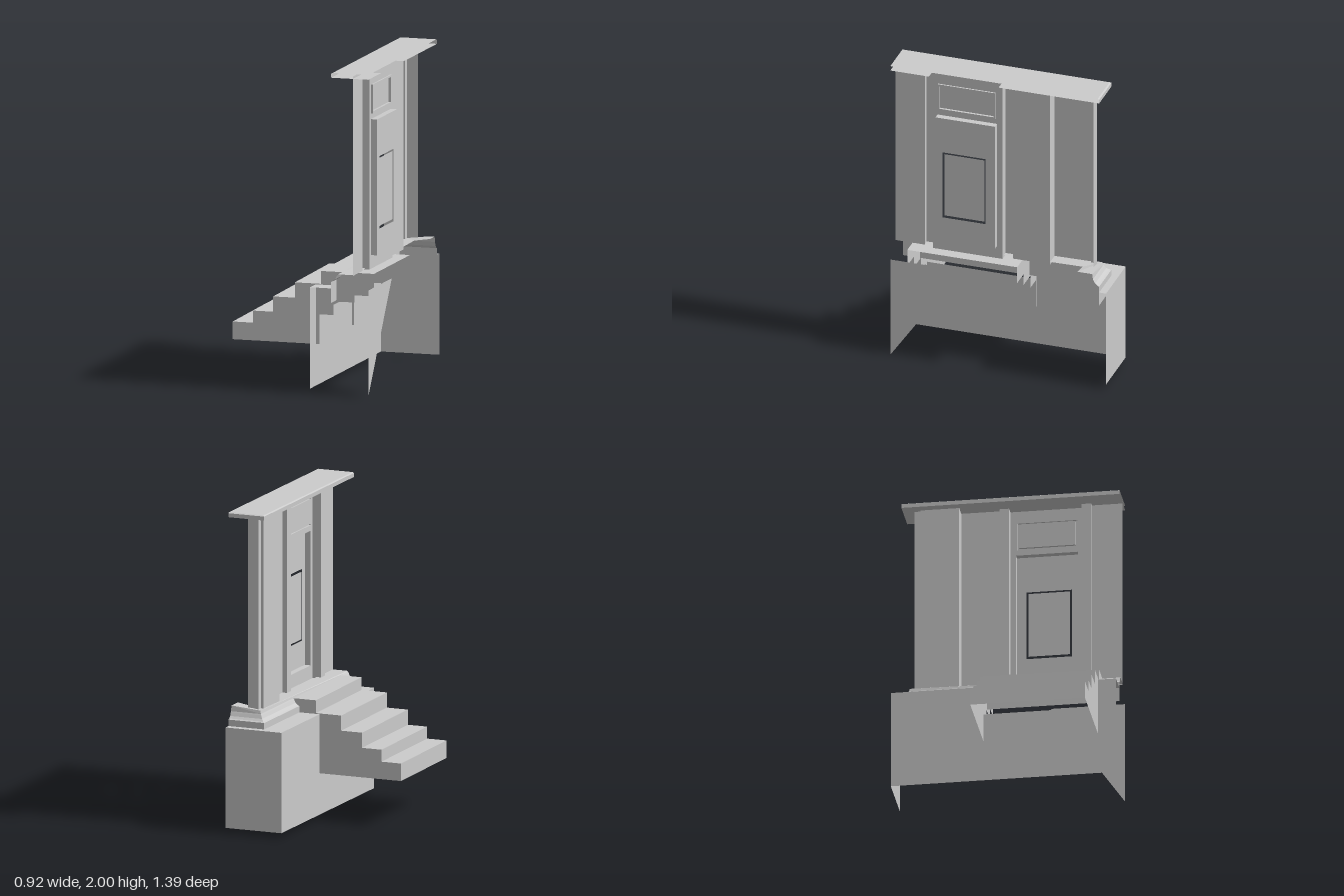
import * as THREE from 'three';

const material = new THREE.MeshStandardMaterial({ color: 0xcccccc, side: THREE.DoubleSide, flatShading: true });

export function createModel() {
  const model = new THREE.Group();

  const add = (name, geometry) => {
    const mesh = new THREE.Mesh(geometry, material);
    mesh.name = name;
    model.add(mesh);
    return mesh;
  };

  // Sheet through a row of cross-sections, each a list of [x, y, z]
  const loft = (name, sections) => {
    const pos = [];
    for (let i = 0; i + 1 < sections.length; i++) {
      const a = sections[i], b = sections[i + 1];
      for (let j = 0; j + 1 < a.length; j++) {
        pos.push(...a[j], ...b[j], ...b[j + 1], ...a[j], ...b[j + 1], ...a[j + 1]);
      }
    }
    const g = new THREE.BufferGeometry();
    g.setAttribute('position', new THREE.Float32BufferAttribute(pos, 3));
    g.computeVertexNormals();
    return add(name, g);
  };

  // Vertical sheet standing on a plan path of [x, z]
  const wall = (name, path, y0, y1) =>
    loft(name, [y1, y0].map(y => path.map(([x, z]) => [x, y, z])));

  // Horizontal sheet
  const floor = (name, x0, x1, z0, z1, y) =>
    loft(name, [[[x0, y, z0], [x0, y, z1]], [[x1, y, z0], [x1, y, z1]]]);

  const outline = (pts, Type = THREE.Shape) => new Type(pts.map(p => new THREE.Vector2(...p)));
  const rect = (z0, z1, y0, y1) => [[z0, y0], [z1, y0], [z1, y1], [z0, y1]];

  // Flat panel facing sideways, drawn in (z, y) at a given x, with optional holes
  const panel = (name, x, pts, holes = []) => {
    const s = outline(pts);
    s.holes = holes.map(h => outline(h, THREE.Path));
    return add(name, new THREE.ShapeGeometry(s).rotateY(-Math.PI / 2).translate(x, 0, 0));
  };

  // Reveal around a rectangular opening
  const reveal = (name, r, x0, x1) => {
    const loop = [...r, r[0]];
    loft(name, [x0, x1].map(x => loop.map(([z, y]) => [x, y, z])));
  };

  // Plinth: long face cut away behind the stairs, end face and ledge
  panel('plinthFace', 0.085, [[-0.695, 0.03], [0.7, 0.03], [0.7, 0.66], [0.59, 0.66],
    [0.59, 0.475], [-0.12, 0.475], [-0.12, 0.66], [-0.695, 0.66]]);
  wall('plinthEnd', [[0.085, -0.695], [0.46, -0.695]], 0.03, 0.66);
  floor('plinthLedge', 0.085, 0.22, -0.695, -0.12, 0.66);
  floor('plinthLedge', 0.085, 0.22, 0.59, 0.7, 0.66);
  floor('plinthEndLedge', 0.22, 0.46, -0.695, -0.65, 0.66);
  panel('plinthBackTriangle', 0.46, [[0.7, 0], [0.7, 0.66], [0.24, 0.66]]);

  // Base moulding, swept along the wall and round the corner
  const profile = top => [[0, 0.57], [0, 0.70], [0.012, 0.705], [0.026, 0.718], [0.036, 0.738],
    [0.04, 0.745], [0.045, top], [0.14, top]];
  loft('baseMoulding', [
    profile(0.75).map(([d, y]) => [0.22 + d, y, 0.7]),
    profile(0.765).map(([d, y]) => [0.22 + d, y, -0.65 + d]),
    profile(0.78).map(([d, y]) => [0.46, y, -0.65 + d]),
  ]);

  // Stairs: treads and risers as one folded sheet, slightly skewed
  const steps = [[-0.46, 0.40], [-0.33, 0.475], [-0.2, 0.57], [-0.06, 0.665], [0.11, 0.745]];
  const fold = [[-0.46, 0.29]];
  steps.forEach(([x, y], i) => {
    fold.push([x, y], [i < 4 ? steps[i + 1][0] : 0.46, y]);
  });
  const skew = x => (x < 0.2 ? 0.01 : 0);
  loft('stairTreads', [
    fold.map(([x, y]) => [x, y, -0.12]),
    fold.map(([x, y]) => [x + skew(x), y, 0.59]),
  ]);
  const under = [[0.46, 0.635], [0.335, 0.635], [0.335, 0.56], [0.2, 0.56], [0.2, 0.475],
    [0.1, 0.475], [0.1, 0.29]];
  for (const z of [-0.12, 0.59]) {
    const pts = [...fold, ...under].map(([x, y]) => [z > 0 ? x + skew(x) : x, y]);
    add('stairSide', new THREE.ShapeGeometry(outline(pts)).translate(0, 0, z));
  }

  // Facade walls, pilasters and corner pier
  wall('frontWall', [[0.36, 0.7], [0.36, 0.51], [0.33, 0.51], [0.33, 0.45], [0.385, 0.45]], 0.745, 1.985);
  wall('rearWall', [[0.385, 0], [0.33, 0], [0.33, -0.06], [0.36, -0.06], [0.36, -0.3], [0.275, -0.3]], 0.745, 1.985);
  wall('pier', [[0.275, -0.3], [0.275, -0.54], [0.29, -0.54]], 0.70, 1.985);
  wall('cornerPilaster', [[0.29, -0.54], [0.29, -0.58], [0.36, -0.58]], 0.76, 1.98);

  // Door bay with openings for door and transom
  const doorway = rect(0.035, 0.42, 0.83, 1.675);
  const transom = rect(0.045, 0.415, 1.71, 1.89);
  panel('doorSurround', 0.385, rect(0, 0.45, 0.745, 2), [doorway, transom]);
  reveal('doorReveal', doorway, 0.385, 0.425);
  panel('door', 0.425, doorway, [rect(0.095, 0.375, 0.99, 1.44)]);
  panel('doorPane', 0.42, rect(0.106, 0.363, 1.003, 1.427));
  reveal('transomReveal', transom, 0.385, 0.395);
  const pane = rect(0.055, 0.405, 1.722, 1.878);
  panel('transomFrame', 0.395, transom, [pane]);
  reveal('transomPaneReveal', pane, 0.38, 0.395);
  panel('transomPane', 0.38, pane);

  // Cornice: top with a small bevel, fascia and soffit
  const edge = (d, y) => [[0.22 + d, y, 0.7], [0.22 + d, y, -0.65 + d], [0.46, y, -0.65 + d]];
  loft('corniceFascia', [edge(0.01, 2), edge(0, 1.995), edge(0, 1.97)]);
  floor('corniceTop', 0.23, 0.46, -0.64, 0.7, 2);
  floor('corniceSoffit', 0.22, 0.46, -0.65, 0, 1.97);
  floor('corniceSoffit', 0.22, 0.385, 0, 0.45, 1.97);
  floor('corniceSoffit', 0.22, 0.46, 0.45, 0.7, 1.97);

  return model;
}
